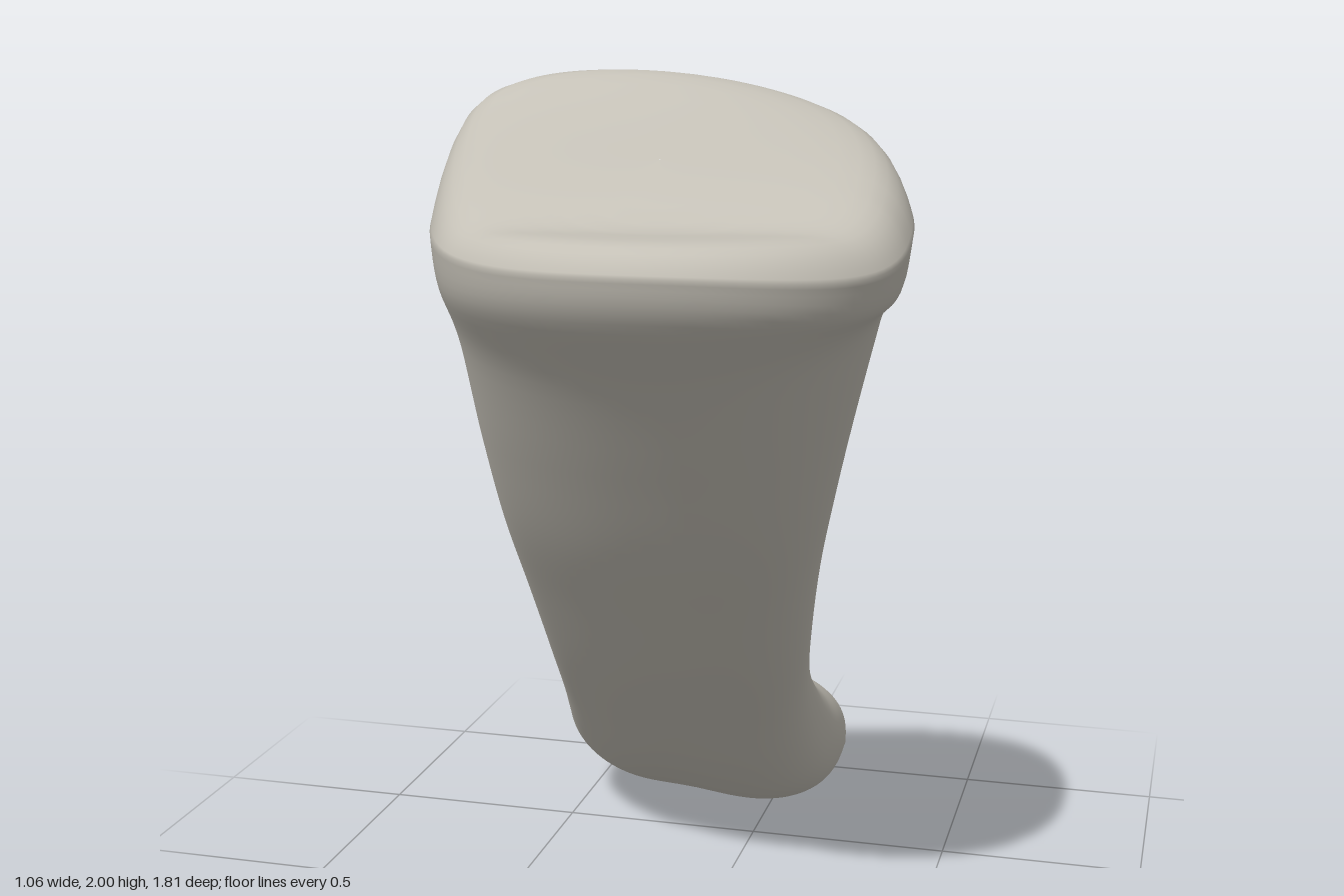
import * as THREE from 'three';

const SIDES = 96;

// Cross-sections from head to far end:
// front z, front y, back z, back y, x min, x max, back skew, front groove,
// front squareness, back squareness, place of the widest line from back (0) to front (1)
const SECTIONS = [
  [0.91, 1.67, 0.28, 1.88, -0.42, 0.53, -0.32, 0, 2.0, 2.7, 0.35],
  [0.87, 1.58, 0.26, 1.73, -0.405, 0.505, -0.34, 0, 2.0, 2.6, 0.38],
  [0.72, 1.42, 0.205, 1.57, -0.385, 0.455, -0.24, 0, 2.1, 2.4, 0.45],
  [0.55, 1.21, 0.12, 1.36, -0.385, 0.39, -0.1, 0, 2.2, 2.2, 0.5],
  [0.38, 1.00, 0.025, 1.17, -0.39, 0.33, 0.03, 0, 2.3, 2.1, 0.52],
  [0.20, 0.80, -0.08, 0.99, -0.395, 0.275, 0.12, 0, 2.3, 2.1, 0.53],
  [0.00, 0.58, -0.22, 0.80, -0.41, 0.225, 0.2, 0, 2.3, 2.2, 0.53],
  [-0.20, 0.38, -0.38, 0.65, -0.44, 0.185, 0.25, 0, 2.4, 2.4, 0.52],
  [-0.38, 0.21, -0.53, 0.56, -0.485, 0.175, 0.22, 0.02, 2.6, 2.6, 0.5],
  [-0.55, 0.085, -0.66, 0.48, -0.53, 0.185, 0.14, 0.05, 2.8, 2.8, 0.5],
  [-0.68, 0.03, -0.76, 0.42, -0.53, 0.19, 0.06, 0.08, 2.9, 2.9, 0.5],
  [-0.79, 0.018, -0.84, 0.37, -0.525, 0.182, 0.02, 0.1, 2.9, 2.9, 0.5],
  [-0.87, 0.085, -0.88, 0.29, -0.495, 0.155, 0, 0.1, 2.8, 2.8, 0.5],
];

// Catmull-Rom blend of the section table
function sectionAt(t) {
  const n = SECTIONS.length - 1;
  const i = Math.min(Math.floor(t), n - 1), f = t - i;
  const row = (k) => SECTIONS[Math.max(0, Math.min(n, k))];
  return SECTIONS[0].map((_, c) => {
    const [a, b, d, e] = [row(i - 1)[c], row(i)[c], row(i + 1)[c], row(i + 2)[c]];
    return b + 0.5 * f * (d - a + f * (2 * a - 5 * b + 4 * d - e + f * (3 * (b - d) + e - a)));
  });
}

function ringAt(t) {
  const [fz, fy, bz, by, x0, x1, skew, groove, frontN, backN, middle] = sectionAt(t);
  const headness = 1 - THREE.MathUtils.smoothstep(t, 0.5, 2);
  const farness = THREE.MathUtils.smoothstep(t, 6, 11);
  const shear = 0.22 * Math.sin(Math.PI * Math.min(1, t / 9));
  const cy = THREE.MathUtils.lerp(by, fy, middle), cz = THREE.MathUtils.lerp(bz, fz, middle);
  const points = [];
  for (let k = 0; k < SIDES; k++) {
    const a = (k / SIDES) * Math.PI * 2;
    const c = Math.cos(a), s = Math.sin(a);
    const power = 2 / (s > 0 ? frontN : backN);
    const u = Math.sign(c) * Math.pow(Math.abs(c), power);
    let v = Math.pow(Math.abs(s), power);
    v *= s < 0 ? 1 - skew * (u + 0.4) : 1 - groove * Math.exp(-Math.pow((u + 0.1) / 0.4, 2));
    // head rim sags at its sides, the shaft's -x edge lies nearer the front,
    // the far end leans down towards +x and narrows underneath
    const sag = headness * u * u * (0.09 + 0.03 * u);
    const shift = -shear * u * u * u * (1 - Math.min(1, v * v)) * 0.5;
    const narrow = s > 0 ? 1 - 0.14 * farness * v : 1;
    const [ez, ey] = s < 0 ? [bz, by] : [fz, fy];
    points.push(new THREE.Vector3(
      (x0 + x1) / 2 + (u * narrow * (x1 - x0)) / 2,
      Math.max(0, cy + v * (ey - cy) + shift * (fy - by) - sag - 0.04 * farness * u),
      cz + v * (ez - cz) + shift * (fz - bz) - 0.015 * farness * u));
  }
  return points;
}

// Height of the hollow joint face on the head
function faceY(x, z) {
  const rise = 1 - THREE.MathUtils.smoothstep(z + 0.13 * x, 0.34, 0.74);
  return 1.73 + 0.28 * rise * (1 - 0.5 * Math.pow((x + 0.1) / 0.6, 2));
}

function boneGeometry() {
  const rings = [];
  const rim = ringAt(0);
  // joint face, from its middle out to the rounded rim
  for (const s of [0.002, 0.12, 0.25, 0.38, 0.5, 0.6, 0.7, 0.78, 0.84, 0.89, 0.93, 0.96, 0.98, 0.993]) {
    rings.push(rim.map((p) => {
      const x = 0.05 + (p.x - 0.05) * s, z = 0.55 + (p.z - 0.55) * s;
      return new THREE.Vector3(x, THREE.MathUtils.lerp(faceY(x, z), p.y, Math.pow(s, 16)), z);
    }));
  }
  // shaft and far end
  const steps = (SECTIONS.length - 1) * 6;
  for (let i = 0; i <= steps; i++) rings.push(ringAt(i / 6));
  // rounded closing of the far end, with a shallow groove between its two lobes
  const last = rings[rings.length - 1];
  for (const s of [0.97, 0.92, 0.85, 0.75, 0.6, 0.4, 0.2, 0.002]) {
    rings.push(last.map((p) => {
      const x = -0.17 + (p.x + 0.17) * s;
      const groove = 0.025 * Math.exp(-Math.pow((x + 0.17) / 0.13, 2));
      const z = -0.875 + (p.z + 0.875) * s - 0.022 * x * (1 - s);
      return new THREE.Vector3(x, 0.19 + (p.y - 0.19) * s, z + (groove - 0.022) * (1 - s * s));
    }));
  }

  const index = [];
  for (let r = 0; r < rings.length - 1; r++) {
    for (let k = 0; k < SIDES; k++) {
      const a = r * SIDES + k, b = r * SIDES + ((k + 1) % SIDES);
      index.push(a, b, a + SIDES, b, b + SIDES, a + SIDES);
    }
  }
  const geometry = new THREE.BufferGeometry().setFromPoints(rings.flat());
  geometry.setIndex(index);
  geometry.computeVertexNormals();
  return geometry;
}

export function createModel() {
  const group = new THREE.Group();
  group.name = 'bone';
  const boneGrey = new THREE.MeshStandardMaterial({ color: 0xc4c0b6 });
  boneGrey.name = 'bone grey';
  const bone = new THREE.Mesh(boneGeometry(), boneGrey);
  bone.name = 'boneShaftAndEnds';
  group.add(bone);
  return group;
}
